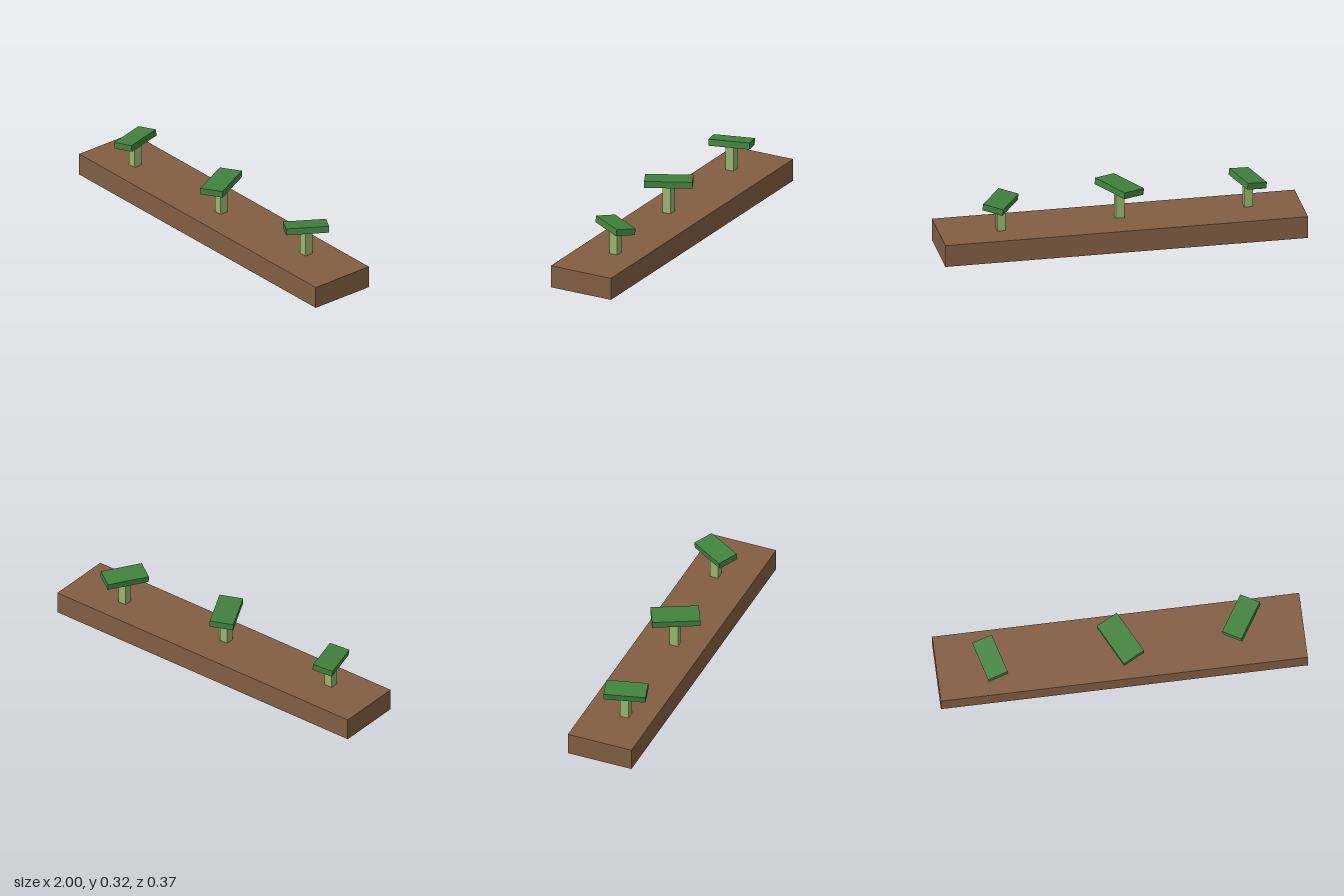
import * as THREE from 'three';

const material = (name, color) => {
  const m = new THREE.MeshStandardMaterial({ color, side: THREE.DoubleSide });
  m.name = name;
  return m;
};

// Box without its underside, like an upturned tray
function openBox(w, h, d) {
  const g = new THREE.BoxGeometry(w, h, d);
  const index = Array.from(g.index.array);
  index.splice(18, 6);
  g.setIndex(index);
  g.clearGroups();
  return g;
}

export function createModel() {
  const soil = material('soil brown', 0x825e42);
  const stemGreen = material('stem light green', 0x99b671);
  const leafGreen = material('leaf green', 0x40823d);
  const model = new THREE.Group();
  model.name = 'seedlingBed';

  const add = (parent, name, geometry, mat, x, y, z) => {
    const mesh = new THREE.Mesh(geometry, mat);
    mesh.name = name;
    mesh.position.set(x, y, z);
    parent.add(mesh);
    return mesh;
  };

  // Soil bed, open underneath
  const bedTop = 0.125;
  add(model, 'soilBed', openBox(2, bedTop, 0.374), soil, 0, bedTop / 2, 0);

  // Seedlings: a square stem under one turned, slightly rolled leaf
  const seedlings = [
    { x: -0.711, z: 0.032, top: 0.264, width: 0.115, length: 0.229, yaw: 0.26, roll: 0.13 },
    { x: 0, z: 0.02, top: 0.284, width: 0.131, length: 0.262, yaw: 0.465, roll: 0.06 },
    { x: 0.664, z: -0.025, top: 0.267, width: 0.117, length: 0.235, yaw: -0.56, roll: 0.133 },
  ];
  const leafHeight = 0.0365;
  for (const s of seedlings) {
    const plant = new THREE.Group();
    plant.name = 'seedling';
    plant.position.set(s.x, 0, s.z);
    model.add(plant);
    const h = s.top - bedTop;
    add(plant, 'stem', openBox(0.048, h, 0.048), stemGreen, 0, bedTop + h / 2, 0);
    const leaf = add(plant, 'leaf', openBox(s.width, leafHeight, s.length), leafGreen,
      0, s.top + leafHeight / 2, 0);
    leaf.rotation.set(0, s.yaw, s.roll, 'YXZ');
  }
  return model;
}
